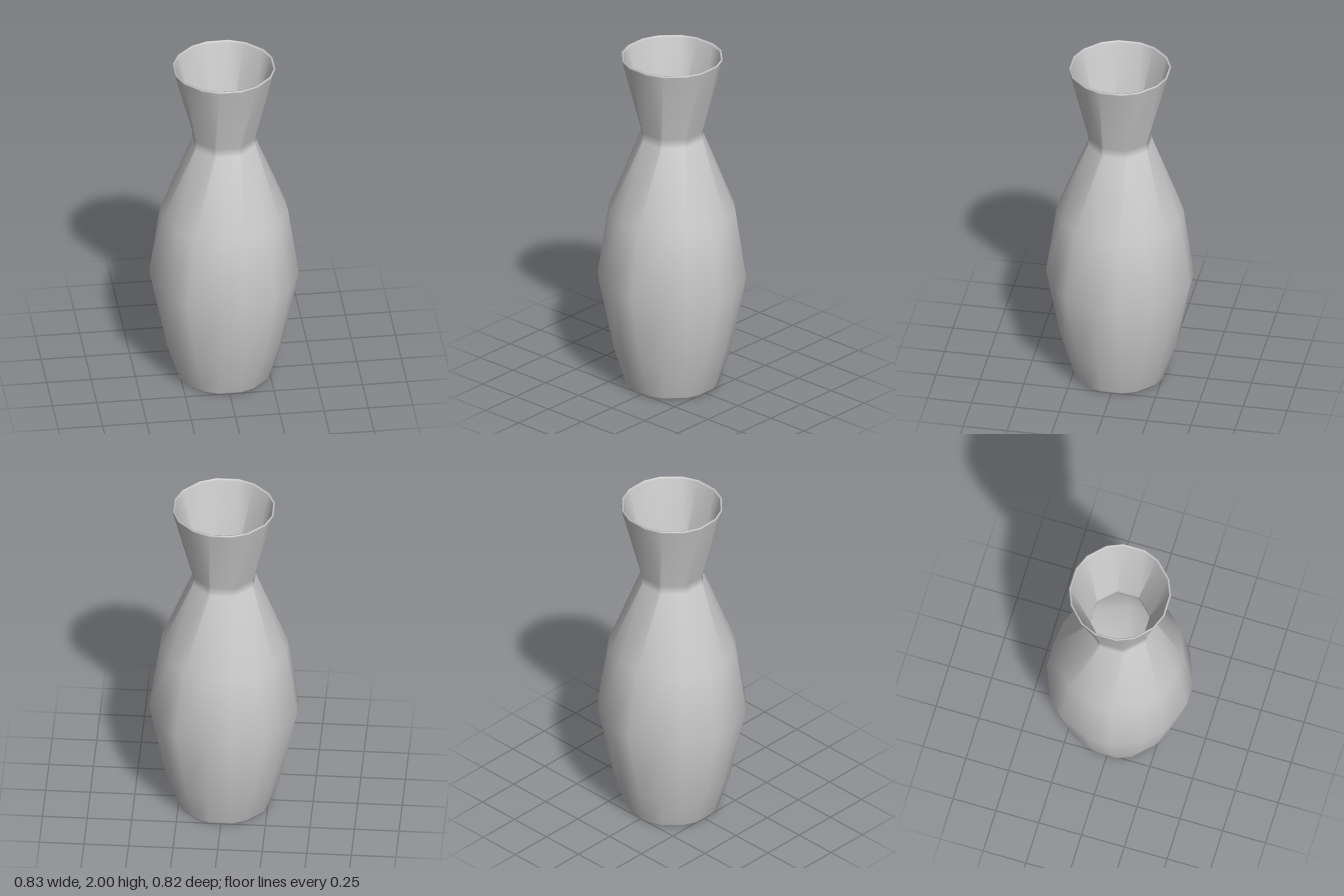
import * as THREE from 'three';

const HALF_FACET = 0.063; // the eight main facets keep this half width at every height

// Sixteen-cornered ring: eight equal facets at distance r, joined by bevels
function ring(r, y) {
  const h = Math.min(HALF_FACET, r * Math.tan(Math.PI / 8));
  const points = [];
  for (let k = 0; k < 8; k++) {
    const a = (k * Math.PI) / 4, c = Math.cos(a), s = Math.sin(a);
    for (const w of [-h, h]) points.push(r * c - w * s, y, (r * s + w * c) * 0.99);
  }
  return points;
}

// Skin a [radius, height] profile with smooth-shaded quads
function skin(profile) {
  const positions = profile.flatMap(([r, y]) => ring(r, y));
  const index = [];
  for (let i = 0; i < profile.length - 1; i++) {
    for (let j = 0; j < 16; j++) {
      const a = i * 16 + j, b = i * 16 + (j + 1) % 16;
      index.push(a, a + 16, b, b, a + 16, b + 16);
    }
  }
  const geometry = new THREE.BufferGeometry();
  geometry.setAttribute('position', new THREE.Float32BufferAttribute(positions, 3));
  geometry.setIndex(index);
  geometry.computeVertexNormals();
  return geometry;
}

export function createModel() {
  const group = new THREE.Group();
  group.name = 'vase';
  const material = new THREE.MeshStandardMaterial({ color: 0xcccccc });
  const add = (name, profile) => {
    const mesh = new THREE.Mesh(skin(profile), material);
    mesh.name = name;
    group.add(mesh);
  };

  // Underside, belly, neck and flared mouth, then over the lip and down inside
  add('vaseBody', [
    [0, 0], [0.23, 0], [0.252, 0], [0.259, 0.012],
    [0.329, 0.23], [0.414, 0.65], [0.354, 1.06],
    [0.174, 1.51], [0.17, 1.56],
    [0.283, 1.99], [0.281, 2], [0.273, 2], [0.27, 1.99],
    [0.157, 1.56], [0.161, 1.51],
    [0.341, 1.06], [0.401, 0.65], [0.316, 0.23], [0.247, 0.016],
  ]);

  // Inner floor
  add('vaseFloor', [[0.247, 0.016], [0, 0.016]]);

  return group;
}
